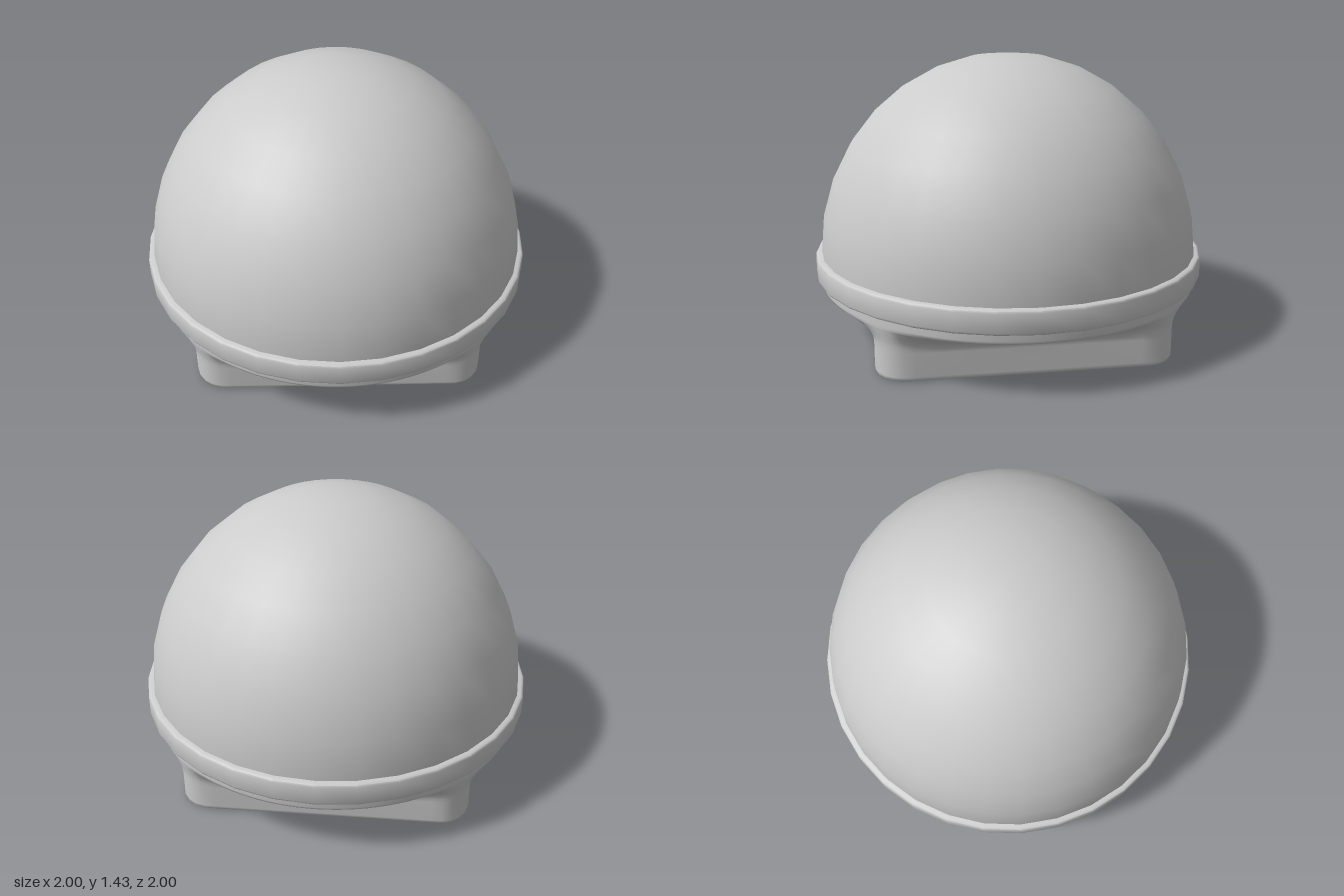
import * as THREE from 'three';
import { toCreasedNormals } from 'three/addons/utils/BufferGeometryUtils.js';

const SQUARE = 0.72, CORNER = 0.15, ROUND = 0.97;

// Distance from the centre to a rounded square of half width h along an angle
function squareRadius(angle, h, r) {
  const c = Math.max(Math.abs(Math.cos(angle)), Math.abs(Math.sin(angle)));
  const s = Math.min(Math.abs(Math.cos(angle)), Math.abs(Math.sin(angle)));
  const k = h - r;
  if (s / c <= k / h) return h / c;
  const dot = k * (c + s);
  return dot + Math.sqrt(dot * dot - 2 * k * k + r * r);
}

// Skin through rings that change from a rounded square to a circle.
// Each row is [y, blend to circle, inset]
function loft(rows, segments) {
  const positions = [], index = [];
  for (const [y, blend, inset] of rows) {
    for (let i = 0; i < segments; i++) {
      const a = (i / segments) * Math.PI * 2;
      const square = squareRadius(a, SQUARE - inset, CORNER - inset);
      const r = THREE.MathUtils.lerp(square, ROUND - inset, blend);
      positions.push(r * Math.cos(a), y, r * Math.sin(a));
    }
  }
  for (let j = 0; j < rows.length - 1; j++) {
    for (let i = 0; i < segments; i++) {
      const n = (i + 1) % segments;
      const a = j * segments + i, b = j * segments + n;
      const c = a + segments, d = b + segments;
      index.push(a, b, c, b, d, c);
    }
  }
  const geometry = new THREE.BufferGeometry();
  geometry.setAttribute('position', new THREE.Float32BufferAttribute(positions, 3));
  geometry.setIndex(index);
  geometry.computeVertexNormals();
  return geometry;
}

export function createModel() {
  const group = new THREE.Group();
  const material = new THREE.MeshStandardMaterial({ color: 0xcccccc, side: THREE.DoubleSide });
  const add = (name, geometry) => {
    const mesh = new THREE.Mesh(geometry, material);
    mesh.name = name;
    group.add(mesh);
    return mesh;
  };

  // Hollow dome
  const dome = add('dome', new THREE.SphereGeometry(ROUND, 32, 8, 0, Math.PI * 2, 0, Math.PI / 2));
  dome.scale.y = 1.01 / ROUND;
  dome.position.y = 0.42;

  // Rim band around the foot of the dome
  const rimProfile = [
    [0.93, 0.31], [0.985, 0.31], [0.996, 0.316], [1, 0.326], [1, 0.414],
    [0.996, 0.424], [0.985, 0.43], [0.93, 0.43], [0.93, 0.31],
  ].map(([x, y]) => new THREE.Vector2(x, y));
  add('rim', toCreasedNormals(new THREE.LatheGeometry(rimProfile, 32), 0.7));

  // Hollow base: round collar flaring in to a rounded square socket
  const wall = 0.035;
  const outer = [
    [0.33, 1, 0], [0.275, 1, 0], [0.262, 0.98, 0], [0.252, 0.9, 0], [0.22, 0.5, 0],
    [0.195, 0.19, 0], [0.178, 0.08, 0], [0.16, 0.02, 0], [0.14, 0, 0],
    [0.025, 0, 0], [0.01, 0, 0.004], [0.002, 0, 0.011], [0, 0, 0.018],
  ];
  const inner = [
    [0.002, 0, 0.026], [0.01, 0, 0.032], [0.025, 0, wall], [0.15, 0, wall],
    [0.175, 0.03, wall], [0.2, 0.12, wall], [0.225, 0.35, wall],
    [0.255, 0.75, wall], [0.275, 0.95, wall], [0.33, 1, wall],
  ];
  add('base', loft([...outer, ...inner], 128));

  return group;
}
